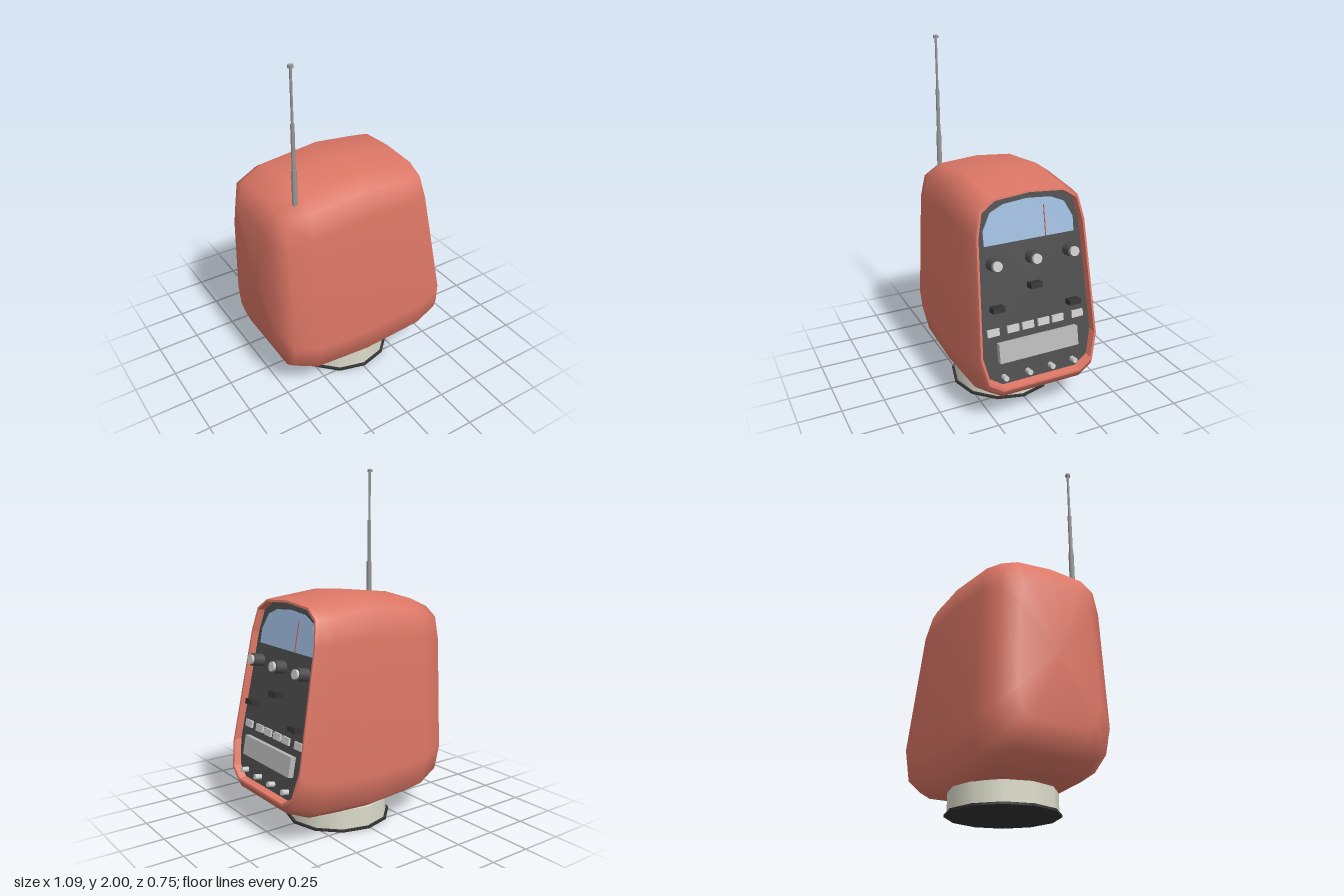
import * as THREE from 'three';

const mat = (color, extra = {}) => new THREE.MeshStandardMaterial({ color, ...extra });
const shellMat = mat(0xdd7766, { side: THREE.DoubleSide });
const rimMat = mat(0xdd7766, { flatShading: true, side: THREE.DoubleSide });
const panelMat = mat(0x4c4c4c);
const darkMat = mat(0x333333);
const greyMat = mat(0xcccccc);
const metalMat = mat(0x999999);

// Slanted front plane: x for a given height, and its tilt.
const SLOPE = 0.186;
const planeX = (y) => 0.585 - SLOPE * y;
const TILT = Math.atan(SLOPE);

// Half cross-section from crown to underside: [half-width, height], both 0..1.
const HALF = [[0, 1], [0.59, 0.984], [0.82, 0.934], [0.905, 0.81],
  [1, 0.19], [0.9, 0.05], [0.67, 0], [0, 0]];
const SECTION = [...HALF, ...HALF.slice(1, -1).reverse().map(([z, v]) => [-z, v])];
const N = SECTION.length;

// One closed ring; x runs linearly from its bottom to its top.
function ring(xb, xt, yb, yt, w) {
  return SECTION.map(([z, v]) => [xb + (xt - xb) * v, yb + (yt - yb) * v, z * w]);
}

// A ring lying on the slanted plane, inset and recessed.
function frontRing(inset, depth) {
  const yb = 0.24 + inset, yt = 1.29 - inset;
  return ring(planeX(yb) - depth, planeX(yt) - depth, yb, yt, 0.353 - inset);
}

// Skin consecutive rings; optionally close the first or last with a fan.
function loft(rings, capStart, capEnd) {
  const pos = rings.flat(2), index = [];
  for (let i = 0; i < rings.length - 1; i++) {
    for (let j = 0; j < N; j++) {
      const k = (j + 1) % N;
      const a = i * N + j, b = i * N + k, c = b + N, d = a + N;
      index.push(a, b, c, a, c, d);
    }
  }
  const cap = (r, flip) => {
    const c = pos.length / 3, base = r * N;
    const top = rings[r][0], low = rings[r][HALF.length - 1];
    pos.push((top[0] + low[0]) / 2, (top[1] + low[1]) / 2, 0);
    for (let j = 0; j < N; j++) {
      const k = (j + 1) % N;
      index.push(c, base + (flip ? k : j), base + (flip ? j : k));
    }
  };
  if (capStart) cap(0, true);
  if (capEnd) cap(rings.length - 1, false);
  const g = new THREE.BufferGeometry();
  g.setAttribute('position', new THREE.Float32BufferAttribute(pos, 3));
  g.setIndex(index);
  g.computeVertexNormals();
  return g;
}

function add(parent, name, geometry, material, x = 0, y = 0, z = 0) {
  const m = new THREE.Mesh(geometry, material);
  m.name = name;
  m.position.set(x, y, z);
  parent.add(m);
  return m;
}

export function createModel() {
  const model = new THREE.Group();
  model.name = 'radio';

  // Rounded shell
  add(model, 'shell', loft([
    ring(-0.545, -0.545, 0.34, 1.09, 0.24),
    ring(-0.485, -0.485, 0.2, 1.23, 0.34),
    ring(-0.345, -0.345, 0.14, 1.29, 0.375),
    ring(0, 0, 0.11, 1.33, 0.375),
    ring(0.38, 0.25, 0.14, 1.302, 0.373),
    ring(0.52, 0.33, 0.2, 1.293, 0.36),
    frontRing(0, 0),
  ], true, false), shellMat);

  // Front lip and recessed panel
  add(model, 'frontRim', loft([frontRing(0, 0), frontRing(0.012, 0), frontRing(0.018, 0.04)]), rimMat);
  add(model, 'frontPanel', loft([frontRing(0.018, 0.04)], false, true), panelMat);

  // Controls live in a frame lying on the panel: x to its right, z outward
  const controls = new THREE.Group();
  controls.name = 'controls';
  controls.rotation.order = 'YXZ';
  controls.rotation.set(-TILT, Math.PI / 2, 0);
  controls.position.x = planeX(0) - 0.04;
  model.add(controls);
  const up = (y) => y / Math.cos(TILT);
  const box = (name, material, x, y, w, h, d) =>
    add(controls, name, new THREE.BoxGeometry(w, h, d), material, x, up(y), d / 2);
  const peg = (name, material, x, y, r, len, z = 0, sides = 12) => {
    const m = add(controls, name, new THREE.CylinderGeometry(r, r, len, sides), material, x, up(y), z + len / 2);
    m.rotation.x = Math.PI / 2;
  };

  // Tuning window and needle
  const side = [[0.268, 1.02], [0.268, 1.1], [0.22, 1.19], [0.14, 1.224]];
  const outline = [...side, [0, 1.236], ...side.map(([x, y]) => [-x, y]).reverse()];
  const windowShape = new THREE.Shape(outline.map(([x, y]) => new THREE.Vector2(x, up(y))));
  add(controls, 'tuningWindow', new THREE.ExtrudeGeometry(windowShape, { depth: 0.004, bevelEnabled: false }), mat(0x9dbbdd));
  box('needle', mat(0xcc5544), 0.095, 1.105, 0.005, 0.17, 0.007);

  // Knobs with pale caps
  for (const x of [-0.23, 0, 0.227]) {
    peg('knob', panelMat, x, 0.925, 0.036, 0.065, 0, 16);
    peg('knobCap', greyMat, x, 0.925, 0.027, 0.015, 0.065, 16);
  }

  // Sliding switches
  for (const [x, y] of [[0, 0.775], [-0.23, 0.685], [0.227, 0.637]]) {
    box('switch', darkMat, x, y, 0.07, 0.03, 0.05);
  }

  // Key row
  for (const x of [-0.257, -0.14, -0.05, 0.045, 0.133, 0.257]) {
    box('key', greyMat, x, 0.556, 0.07, 0.04, 0.012);
  }

  // Wide plate and the pins below it
  box('plate', mat(0xb8b8b8), 0, 0.44, 0.48, 0.11, 0.032);
  for (const x of [-0.215, -0.07, 0.07, 0.21]) peg('pin', greyMat, x, 0.3, 0.015, 0.04);

  // Round stand
  add(model, 'stand', new THREE.CylinderGeometry(0.293, 0.293, 0.115, 12), mat(0xddddcc), 0.01, 0.068, 0);
  add(model, 'foot', new THREE.CylinderGeometry(0.308, 0.308, 0.012, 12), darkMat, 0.01, 0.006, 0);

  // Telescopic antenna: [radius, bottom, top]
  for (const [r, y0, y1] of [[0.015, 1.2, 1.45], [0.011, 1.45, 1.7], [0.007, 1.7, 1.985], [0.015, 1.985, 2]]) {
    add(model, 'antenna', new THREE.CylinderGeometry(r, r, y1 - y0, 8), metalMat, -0.39, (y0 + y1) / 2, 0.215);
  }

  return model;
}
